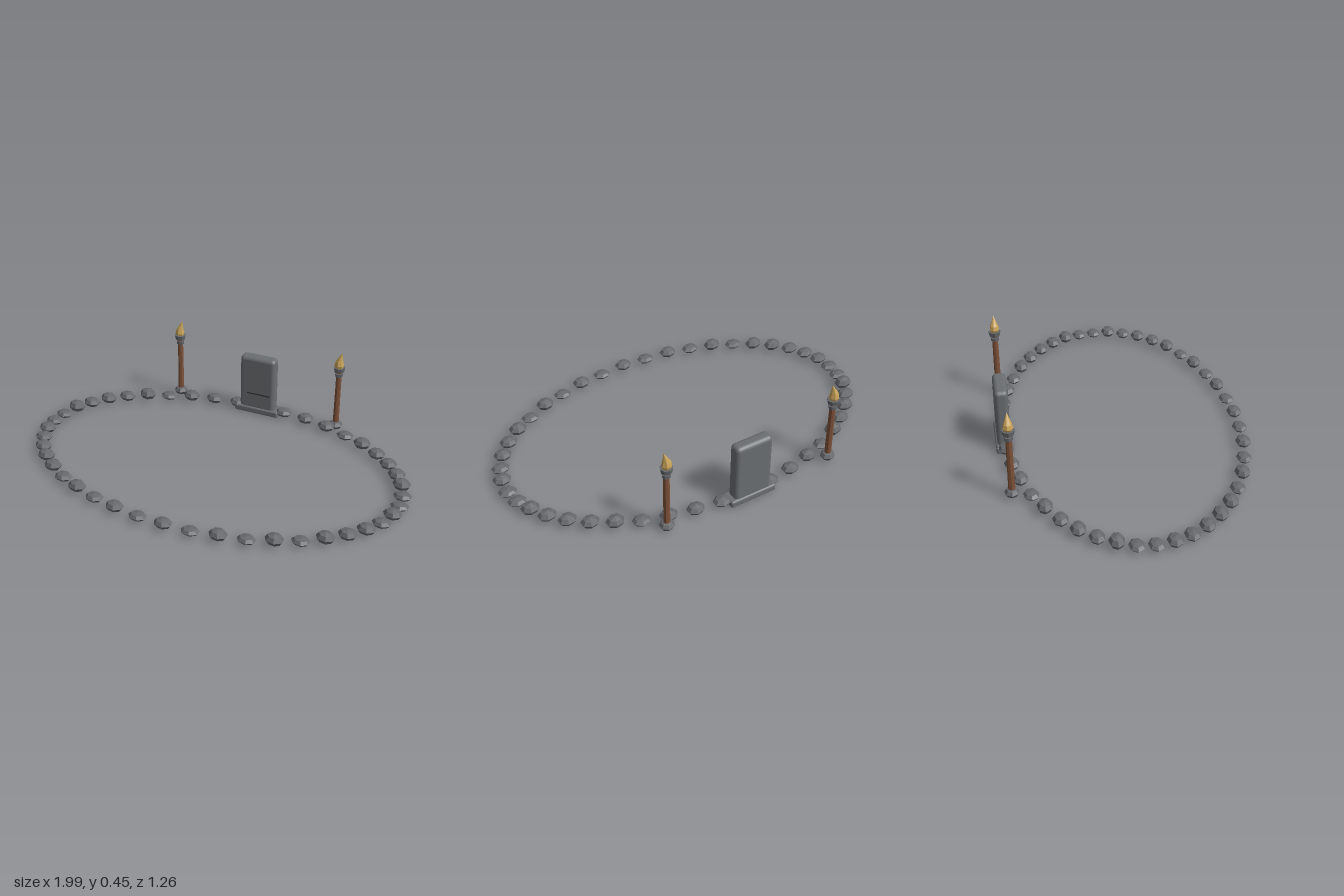
import * as THREE from 'three';
import { RoundedBoxGeometry } from 'three/addons/geometries/RoundedBoxGeometry.js';

const mat = (name, color, flatShading = true) => {
  const m = new THREE.MeshStandardMaterial({ color, flatShading });
  m.name = name;
  return m;
};

export function createModel() {
  const stone = mat('stone grey', 0x66686c);
  const slab = mat('slab grey', 0x6a6e71, false);
  const wood = mat('torch wood', 0x7d5138);
  const fire = mat('flame gold', 0xc9a45a);
  const dark = mat('carved dark', 0x2f3133);
  const root = new THREE.Group();
  root.name = 'stoneRingShrine';

  const add = (parent, name, geo, material, x, y, z) => {
    const m = new THREE.Mesh(geo, material);
    m.name = name;
    m.position.set(x, y, z);
    parent.add(m);
    return m;
  };

  // Ring of flattened stones, counted from the front towards +x
  const pebble = new THREE.SphereGeometry(1, 7, 4);
  const halfHeights = [25, 18, 27, 19, 29, 19, 29, 26, 26, 21, 26,
    18, 20, 29, 26, 26, 26, 29, 20, 26, 26, 22];
  const ring = new THREE.Group();
  ring.name = 'stoneRing';
  root.add(ring);
  const count = 44;
  for (let i = 0; i < count; i++) {
    const a = (i / count) * Math.PI * 2;
    const h = (i < 22 ? halfHeights[i] : halfHeights[(count - i) % 22] + (i % 2 ? 2 : -1)) / 1000;
    add(ring, 'ringStone', pebble, stone, 0.95 * Math.sin(a), 0.007 + h, 0.59 * Math.cos(a))
      .scale.set(0.047, h, 0.038);
  }

  // Upright slab on a low plinth, with one carved line
  const marker = new THREE.Group();
  marker.name = 'standingSlab';
  marker.position.set(-0.015, 0, -0.589);
  root.add(marker);
  add(marker, 'plinth', new RoundedBoxGeometry(0.25, 0.036, 0.082, 2, 0.01), slab, 0, 0.018, 0);
  add(marker, 'slab', new RoundedBoxGeometry(0.2, 0.315, 0.066, 3, 0.022), slab, 0, 0.177, 0);
  add(marker, 'carvedLine', new THREE.BoxGeometry(0.13, 0.006, 0.006), dark, 0.012, 0.12, 0.034);

  // Flame: a teardrop whose tip leans to +x
  const flameProfile = [[0, 0], [0.02, 0], [0.025, 0.014], [0.02, 0.035], [0.01, 0.06], [0, 0.087]];
  const flame = new THREE.LatheGeometry(flameProfile.map(([r, y]) => new THREE.Vector2(r, y)), 7);
  const p = flame.attributes.position;
  for (let i = 0; i < p.count; i++) {
    const t = p.getY(i) / 0.087;
    p.setX(i, p.getX(i) - 0.008 * Math.sin(t * Math.PI) * (1 - t) + 0.014 * t * t);
  }
  flame.computeVertexNormals();

  const torch = (x) => {
    const g = new THREE.Group();
    g.name = 'torch';
    g.position.set(x, 0, -0.582);
    add(g, 'footStone', pebble, stone, 0, 0.028, 0).scale.set(0.038, 0.024, 0.036);
    add(g, 'pole', new THREE.CylinderGeometry(0.0145, 0.0165, 0.33, 8), wood, 0, 0.185, 0);
    add(g, 'lowerCollar', new THREE.CylinderGeometry(0.022, 0.02, 0.018, 8), stone, 0, 0.327, 0);
    add(g, 'cup', new THREE.CylinderGeometry(0.031, 0.026, 0.025, 8), stone, 0, 0.358, 0);
    add(g, 'flame', flame, fire, 0, 0.368, 0);
    root.add(g);
  };
  torch(-0.482);
  torch(0.432);

  return root;
}
